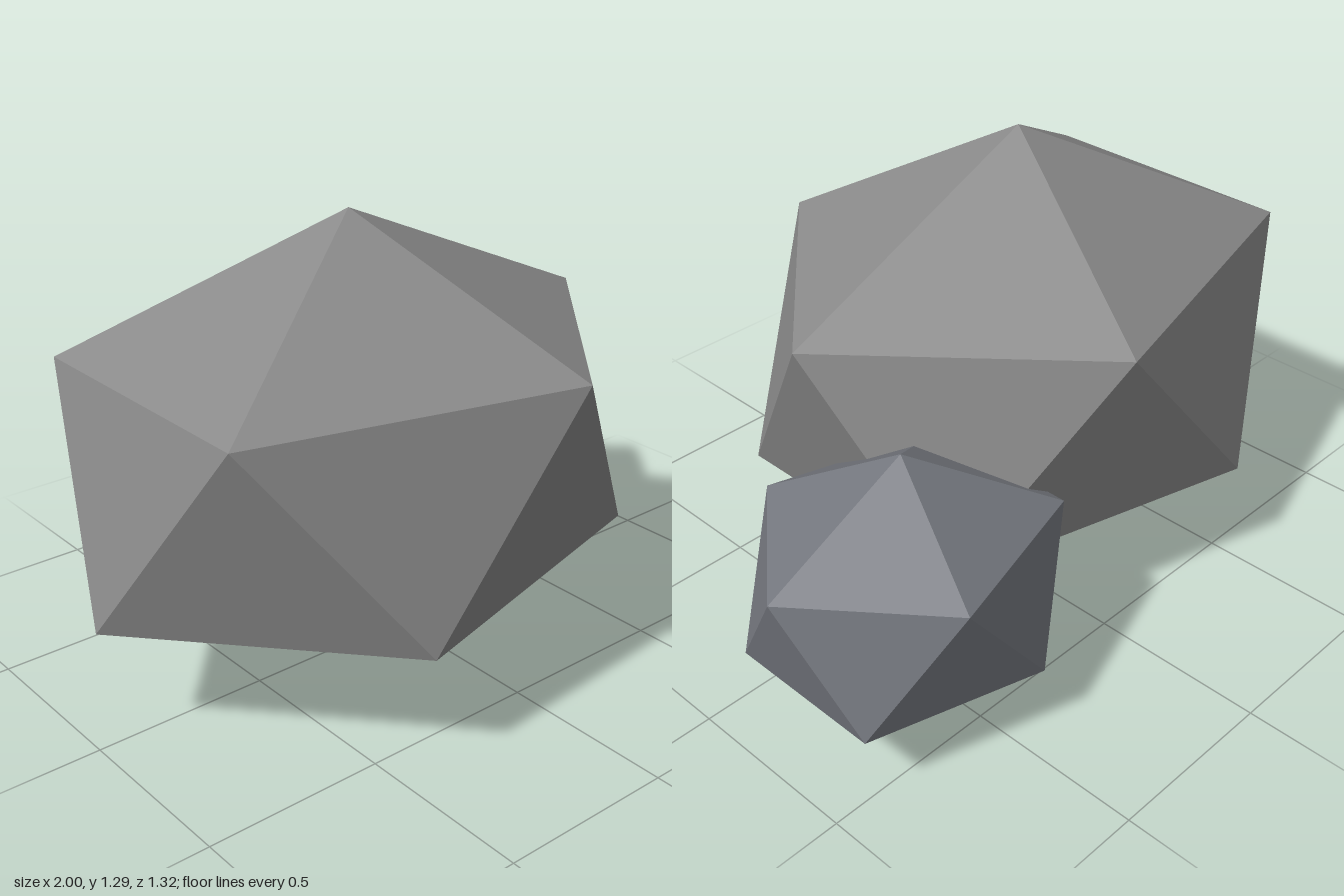
import * as THREE from 'three';

// A faceted boulder: an icosahedron standing on one corner, stretched along its axes
function boulder(name, color, center, radii) {
  const geometry = new THREE.IcosahedronGeometry(1, 0);
  geometry.rotateX(-Math.atan((1 + Math.sqrt(5)) / 2)); // one corner straight up
  geometry.rotateY(Math.PI / 2); // a corner of the upper ring towards +x
  geometry.scale(...radii);
  geometry.computeVertexNormals();
  const mesh = new THREE.Mesh(geometry, new THREE.MeshStandardMaterial({ color, flatShading: true }));
  mesh.name = name;
  mesh.position.set(...center);
  return mesh;
}

export function createModel() {
  const group = new THREE.Group();
  group.name = 'rocks';
  group.add(
    boulder('largeRock', 0x8a8a8a, [-0.192, 0.65, 0.032], [0.902, 0.645, 0.741]),
    boulder('smallRock', 0x75787f, [0.57, 0.399, -0.3], [0.48, 0.38, 0.381 / 0.8944])
  );
  return group;
}
